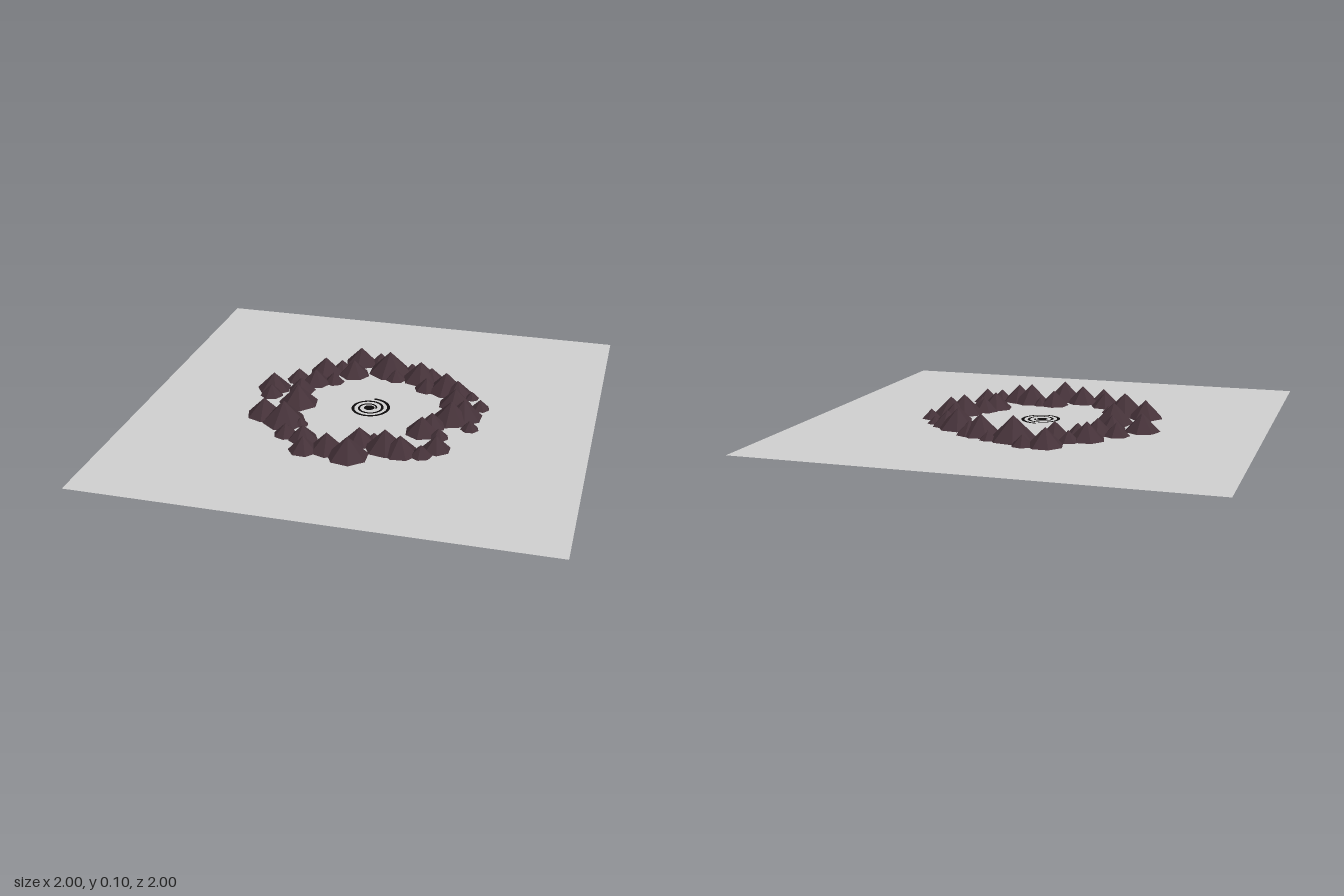
import * as THREE from 'three';

const mat = (name, color, side = THREE.FrontSide) =>
  new THREE.MeshStandardMaterial({ name, color, side });

// Flat spiral ribbon lying in the xz plane, narrowing towards its centre
function spiralRibbon(rStart, rEnd, turns, width, steps = 120) {
  const pos = [], index = [];
  for (let i = 0; i <= steps; i++) {
    const t = i / steps;
    const a = -Math.PI / 2 + t * turns * Math.PI * 2;
    const r = rStart + (rEnd - rStart) * t;
    const w = width * (1 - 0.4 * t);
    for (const q of [r, r - w]) pos.push(Math.cos(a) * q, 0, Math.sin(a) * q);
    if (i < steps) {
      const k = i * 2;
      index.push(k, k + 1, k + 2, k + 1, k + 3, k + 2);
    }
  }
  const g = new THREE.BufferGeometry();
  g.setAttribute('position', new THREE.Float32BufferAttribute(pos, 3));
  g.setIndex(index);
  // The ribbon faces straight up
  g.setAttribute('normal', new THREE.Float32BufferAttribute(pos.map((_, i) => (i % 3 === 1 ? 1 : 0)), 3));
  return g;
}

// Peaks of the mountain ring: x, z, base radius
const WEST_PEAKS = [
  [-0.16, -0.475, 0.08], [-0.07, -0.5, 0.05], [-0.23, -0.375, 0.05], [-0.295, -0.32, 0.08],
  [-0.16, -0.335, 0.075], [-0.395, -0.21, 0.06], [-0.23, -0.23, 0.05], [-0.31, -0.2, 0.07],
  [-0.48, -0.095, 0.08], [-0.35, -0.105, 0.065], [-0.47, -0.025, 0.055], [-0.325, 0.025, 0.092],
  [-0.435, 0.175, 0.082], [-0.33, 0.215, 0.1], [-0.25, 0.23, 0.035], [-0.285, 0.335, 0.055],
  [-0.2, 0.355, 0.067], [-0.17, 0.45, 0.067], [-0.075, 0.42, 0.08],
];
const EAST_PEAKS = [
  [0, -0.405, 0.105], [0.1, -0.44, 0.04], [0.16, -0.36, 0.09], [0.045, -0.33, 0.05],
  [0.21, -0.37, 0.06], [0.21, -0.26, 0.06], [0.3, -0.27, 0.09], [0.36, -0.24, 0.07],
  [0.43, -0.215, 0.035], [0.37, -0.13, 0.08], [0.485, -0.12, 0.045], [0.43, -0.02, 0.085],
  [0.38, 0.02, 0.09], [0.475, 0.09, 0.042], [0.31, 0.1, 0.065], [0.28, 0.17, 0.077],
  [0.36, 0.2, 0.045], [0.37, 0.305, 0.065], [0.32, 0.375, 0.05], [0.23, 0.37, 0.08],
  [0.16, 0.35, 0.09], [0.1, 0.3, 0.04], [0.04, 0.32, 0.07], [0.025, 0.455, 0.092],
];

export function createModel() {
  const model = new THREE.Group();
  model.name = 'mountainRingTerrain';

  const groundMat = mat('pale grey', 0xd0d0d0, THREE.DoubleSide);
  const rockMat = mat('dark plum rock', 0x453239);
  rockMat.flatShading = true;
  const inkMat = mat('black', 0x0c0a0b, THREE.DoubleSide);

  // Square ground sheet, just above the bases of the peaks
  const ground = new THREE.Mesh(new THREE.PlaneGeometry(2, 2).rotateX(-Math.PI / 2), groundMat);
  ground.position.y = 0.001;
  ground.name = 'ground';
  model.add(ground);

  // Ring of low seven-sided peaks
  const mountains = new THREE.Group();
  mountains.name = 'mountainRing';
  [...WEST_PEAKS, ...EAST_PEAKS].forEach(([x, z, r], i) => {
    const peak = new THREE.Mesh(new THREE.ConeGeometry(r, r, 7), rockMat);
    peak.position.set(x, r / 2, z);
    peak.rotation.y = i * 2.4;
    peak.name = 'peak';
    mountains.add(peak);
  });
  model.add(mountains);

  // Spiral mark in the middle of the clearing
  const swirl = new THREE.Group();
  swirl.name = 'swirl';
  const band = new THREE.Mesh(spiralRibbon(0.1, 0.035, 2.25, 0.014), inkMat);
  band.name = 'swirlBand';
  const eye = new THREE.Mesh(new THREE.CircleGeometry(0.024, 24).rotateX(-Math.PI / 2), inkMat);
  eye.name = 'swirlEye';
  swirl.add(band, eye);
  swirl.position.y = 0.003;
  model.add(swirl);

  return model;
}
